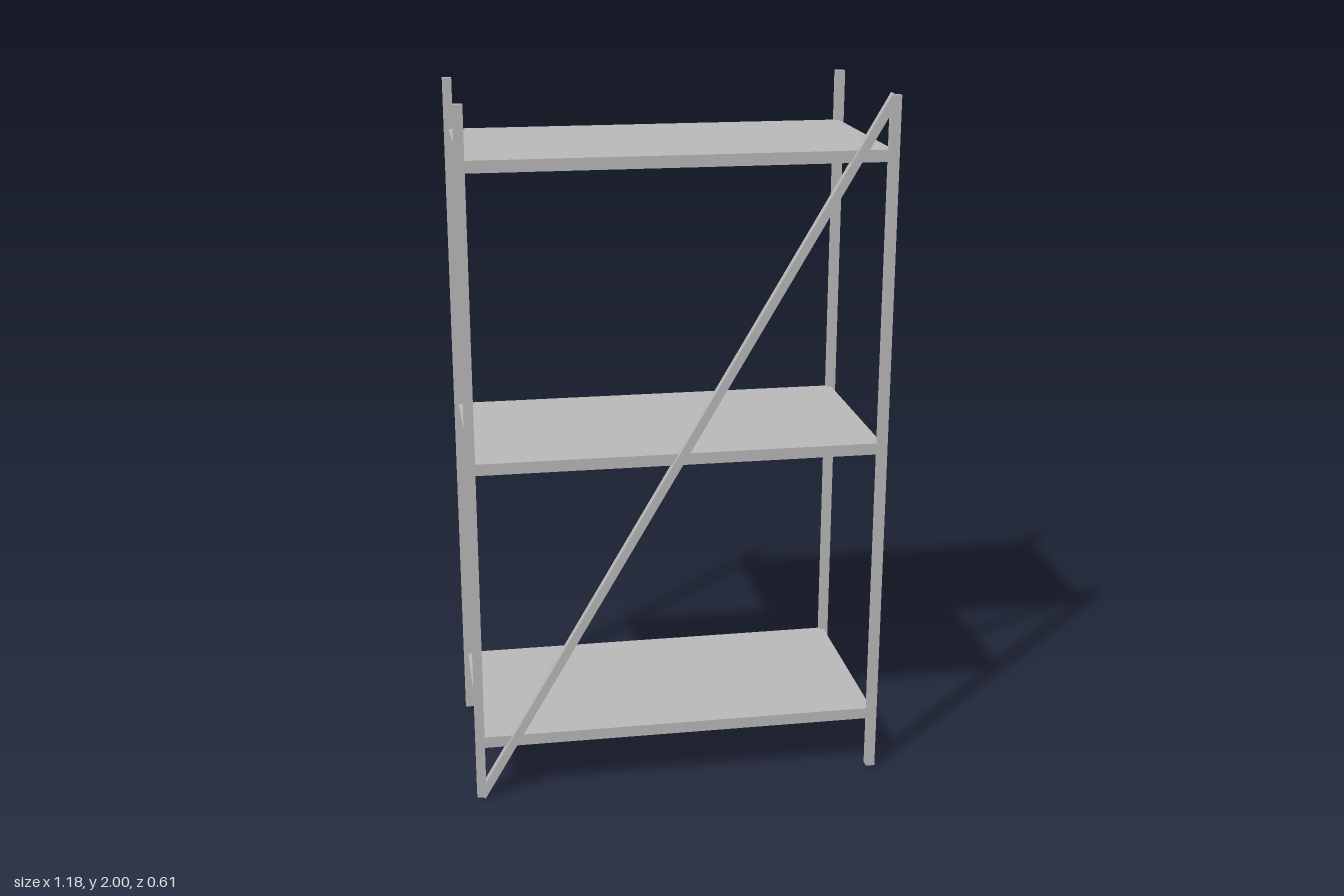
import * as THREE from 'three';

export function createModel() {
  const model = new THREE.Group();
  model.name = 'shelvingRack';
  const steel = new THREE.MeshStandardMaterial({ color: 0xb8b8b8 });
  steel.name = 'greySteel';

  const halfX = 0.579, halfZ = 0.29, post = 0.026;
  const bottom = 0.007, top = 1.993, middle = (bottom + top) / 2;

  function addBox(name, size, position) {
    const mesh = new THREE.Mesh(new THREE.BoxGeometry(...size), steel);
    mesh.name = name;
    mesh.position.set(...position);
    model.add(mesh);
    return mesh;
  }

  // Four corner posts
  for (const z of [1, -1]) {
    for (const x of [1, -1]) {
      const name = (z > 0 ? 'front' : 'back') + (x > 0 ? 'Left' : 'Right') + 'Post';
      addBox(name, [post, top - bottom, post], [x * halfX, middle, z * halfZ]);
    }
  }

  // Three shelves reaching the post centres
  const heights = { lowerShelf: 0.175, middleShelf: 1.003, upperShelf: 1.831 };
  for (const [name, y] of Object.entries(heights)) {
    addBox(name, [2 * halfX, 0.033, 2 * halfZ], [0, y, 0]);
  }

  // Diagonal brace between opposite ends of the front posts
  const rise = top - bottom, run = 2 * halfX;
  const brace = addBox('diagonalBrace', [0.024, Math.hypot(rise, run), 0.024], [0, middle, halfZ - 0.001]);
  brace.rotation.z = -Math.atan2(run, rise);

  return model;
}
